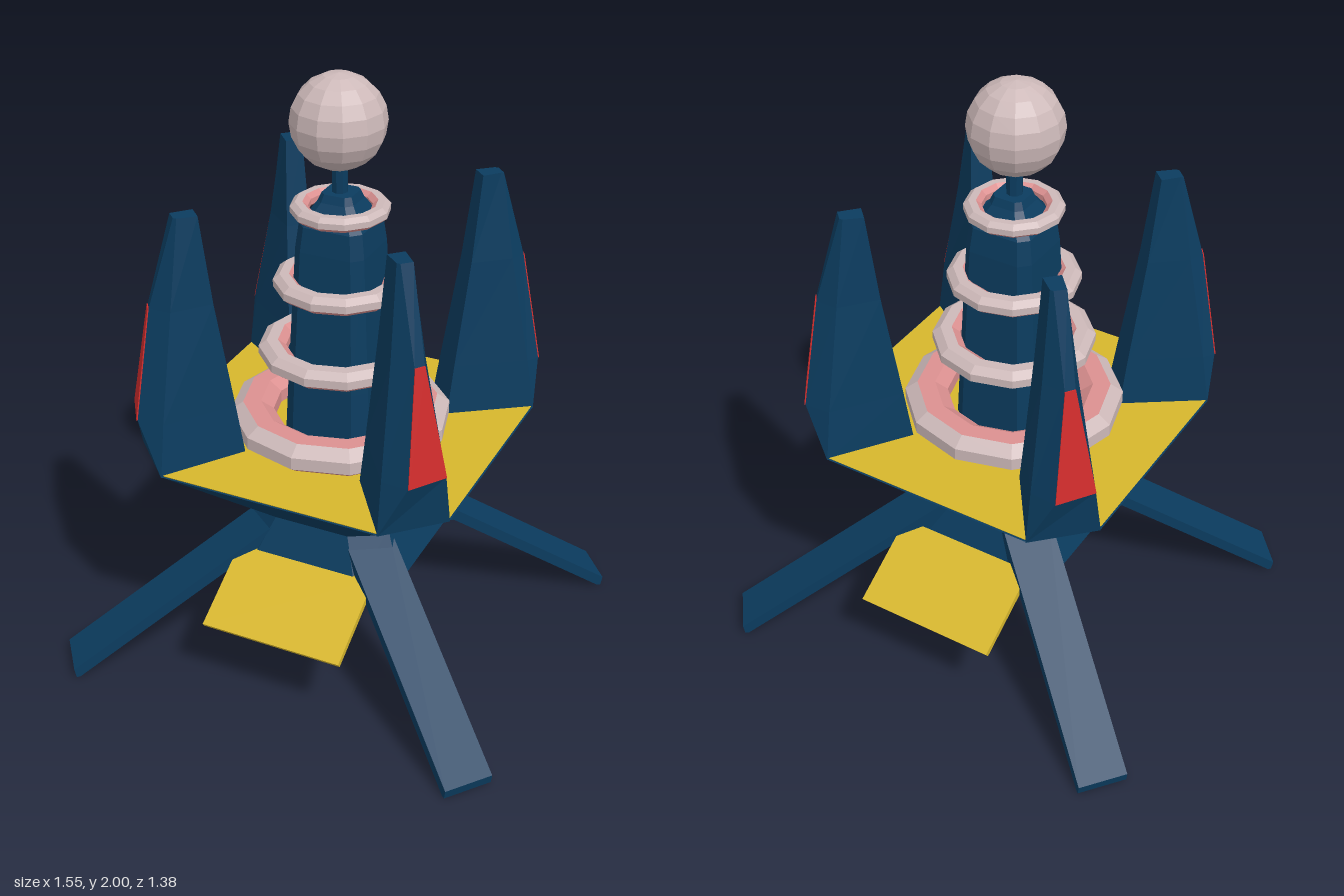
import * as THREE from 'three';

const mat = (name, color) => {
  const m = new THREE.MeshStandardMaterial({ color, flatShading: true });
  m.name = name;
  return m;
};

// Solid through equal-length sections of [x, y, z] points, listed bottom to top
function loft(sections) {
  const pos = [];
  const n = sections[0].length;
  const tri = (...pts) => pts.forEach((p) => pos.push(...p));
  for (let s = 0; s < sections.length - 1; s++) {
    const lo = sections[s], hi = sections[s + 1];
    for (let i = 0; i < n; i++) {
      const j = (i + 1) % n;
      tri(lo[i], hi[i], lo[j]);
      tri(lo[j], hi[i], hi[j]);
    }
  }
  const bottom = sections[0], top = sections[sections.length - 1];
  for (let i = 1; i < n - 1; i++) {
    tri(bottom[0], bottom[i], bottom[i + 1]);
    tri(top[0], top[i + 1], top[i]);
  }
  const g = new THREE.BufferGeometry();
  g.setAttribute('position', new THREE.Float32BufferAttribute(pos, 3));
  g.computeVertexNormals();
  return g;
}

// Square section with cut corners: half width h, half flat f
const octagon = (y, h, f) => [
  [h, y, -f], [h, y, f], [f, y, h], [-f, y, h],
  [-h, y, f], [-h, y, -f], [-f, y, -h], [f, y, -h],
];

// Tower section: side corners s and inner corners i mirror over x = z; a, b are the outer corners
const towerSection = (y, s, a, b, i) => [
  [s[1], y, s[0]], [b[0], y, b[1]], [a[0], y, a[1]],
  [s[0], y, s[1]], [i[0], y, i[1]], [i[1], y, i[0]],
];

// Copies sections into another quadrant, keeping faces outward
function quadrant(sections, sx, sz) {
  return sections.map((section) => {
    const moved = section.map(([x, y, z]) => [x * sx, y, z * sz]);
    return sx * sz < 0 ? moved.reverse() : moved;
  });
}

// Part of a twelve-sided ring with an eight-sided oval section, from corner k0 to k1
function ringBand(outer, halfWidth, halfHeight, k0, k1) {
  const points = [];
  for (let k = k0; k <= k1; k++) {
    const a = ((k - 0.5) * Math.PI) / 4;
    const s = 1 / Math.cos(Math.PI / 8);
    points.push(new THREE.Vector2(
      outer - halfWidth + Math.cos(a) * s * halfWidth,
      Math.sin(a) * s * halfHeight,
    ));
  }
  return new THREE.LatheGeometry(points, 12);
}

export function createModel() {
  const blue = mat('dark blue', 0x0b3c5f);
  const yellow = mat('yellow', 0xd6b62c);
  const red = mat('red', 0xcf2c2c);
  const pale = mat('pale grey pink', 0xcdb9b9);
  const pink = mat('pink', 0xdb9090);
  pale.side = pink.side = THREE.DoubleSide;

  const model = new THREE.Group();
  model.name = 'station';
  const body = new THREE.Group();
  body.name = 'body';
  body.position.z = 0.014;
  model.add(body);

  const add = (parent, name, geometry, material) => {
    const mesh = new THREE.Mesh(geometry, material);
    mesh.name = name;
    parent.add(mesh);
    return mesh;
  };

  // Hub, bowl and deck
  add(body, 'hub', loft([octagon(0.375, 0.3, 0.19), octagon(0.53, 0.23, 0.13)]), blue);
  add(body, 'bowl', loft([octagon(0.53, 0.23, 0.13), octagon(0.798, 0.534, 0.365)]), blue);
  add(body, 'deck', loft([octagon(0.79, 0.522, 0.36), octagon(0.802, 0.53, 0.363)]), yellow);

  // Central column with neck and ball
  add(body, 'column', loft([
    octagon(0.79, 0.15, 0.105), octagon(1.0, 0.14, 0.1), octagon(1.45, 0.117, 0.085),
    octagon(1.53, 0.107, 0.078), octagon(1.6, 0.06, 0.04), octagon(1.625, 0.05, 0.034),
  ]), blue);
  const neck = add(body, 'neck', new THREE.CylinderGeometry(0.026, 0.026, 0.14, 8), blue);
  neck.position.set(-0.003, 1.67, 0.003);
  const ball = add(body, 'ball', new THREE.SphereGeometry(0.15, 12, 10), pale);
  ball.position.set(-0.006, 1.85, 0.005);

  // Rings: height, outer radius, half width, half height, number of pale bands
  const rings = [
    [0.85, 0.358, 0.07, 0.05, 2], [1.09, 0.262, 0.044, 0.033, 3],
    [1.325, 0.212, 0.036, 0.029, 3], [1.572, 0.156, 0.028, 0.023, 3],
  ];
  for (const [y, outer, halfWidth, halfHeight, paleBands] of rings) {
    const ring = new THREE.Group();
    ring.name = 'ring';
    ring.position.set(0, y, 0.006);
    add(ring, 'ringOutside', ringBand(outer, halfWidth, halfHeight, 0, paleBands), pale);
    add(ring, 'ringInside', ringBand(outer, halfWidth, halfHeight, paleBands, 8), pink);
    body.add(ring);
  }

  // Corner towers with red outer panels
  const low = towerSection(0.97, [0.367, 0.506], [0.455, 0.512], [0.53, 0.402], [0.224, 0.303]);
  const high = towerSection(1.33, [0.361, 0.437], [0.436, 0.438], [0.456, 0.41], [0.273, 0.33]);
  const tower = [
    towerSection(0.795, [0.368, 0.534], [0.369, 0.534], [0.534, 0.369], [0.2, 0.292]),
    low, high,
    towerSection(1.62, [0.353, 0.387], [0.365, 0.387], [0.393, 0.359], [0.305, 0.345]),
  ];
  const scaled = (p, k) => [p[0] * k, p[1], p[2] * k];
  const panel = [low, high].map((s) => [
    scaled(s[1], 1.006), scaled(s[2], 1.006), scaled(s[2], 0.996), scaled(s[1], 0.996),
  ]);

  // Leg: a side profile extruded across the leg width
  const width = 0.165;
  const profile = new THREE.Shape([
    [-0.05, 0.53], [0.684, 0.032], [0.678, 0], [0.666, 0], [0.11, 0.377], [-0.05, 0.377],
  ].map(([x, y]) => new THREE.Vector2(x, y)));
  const legGeo = new THREE.ExtrudeGeometry(profile, { depth: width, bevelEnabled: false });
  legGeo.translate(0, 0, -width / 2);

  // One tower and one splayed leg in each corner
  for (const sx of [1, -1]) {
    for (const sz of [1, -1]) {
      add(body, 'tower', loft(quadrant(tower, sx, sz)), blue);
      add(body, 'towerPanel', loft(quadrant(panel, sx, sz)), red);
      const leg = add(model, 'leg', legGeo, blue);
      leg.position.set(sx * 0.19, 0, sz * 0.195);
      leg.rotation.y = -Math.atan2(sz * 0.63, sx * 0.775);
    }
  }

  // Sloping ramps at front and back
  const rect = (y, w, z0, z1, drop) => [
    [w, y, z0], [w, y - drop, z1], [-w, y - drop, z1], [-w, y, z0],
  ];
  const rampGeo = loft([rect(0.402, 0.243, 0.275, 0.541, 0.148), rect(0.422, 0.243, 0.287, 0.553, 0.152)]);
  for (const turn of [0, Math.PI]) {
    add(model, 'ramp', rampGeo, yellow).rotation.y = turn;
  }
  return model;
}
